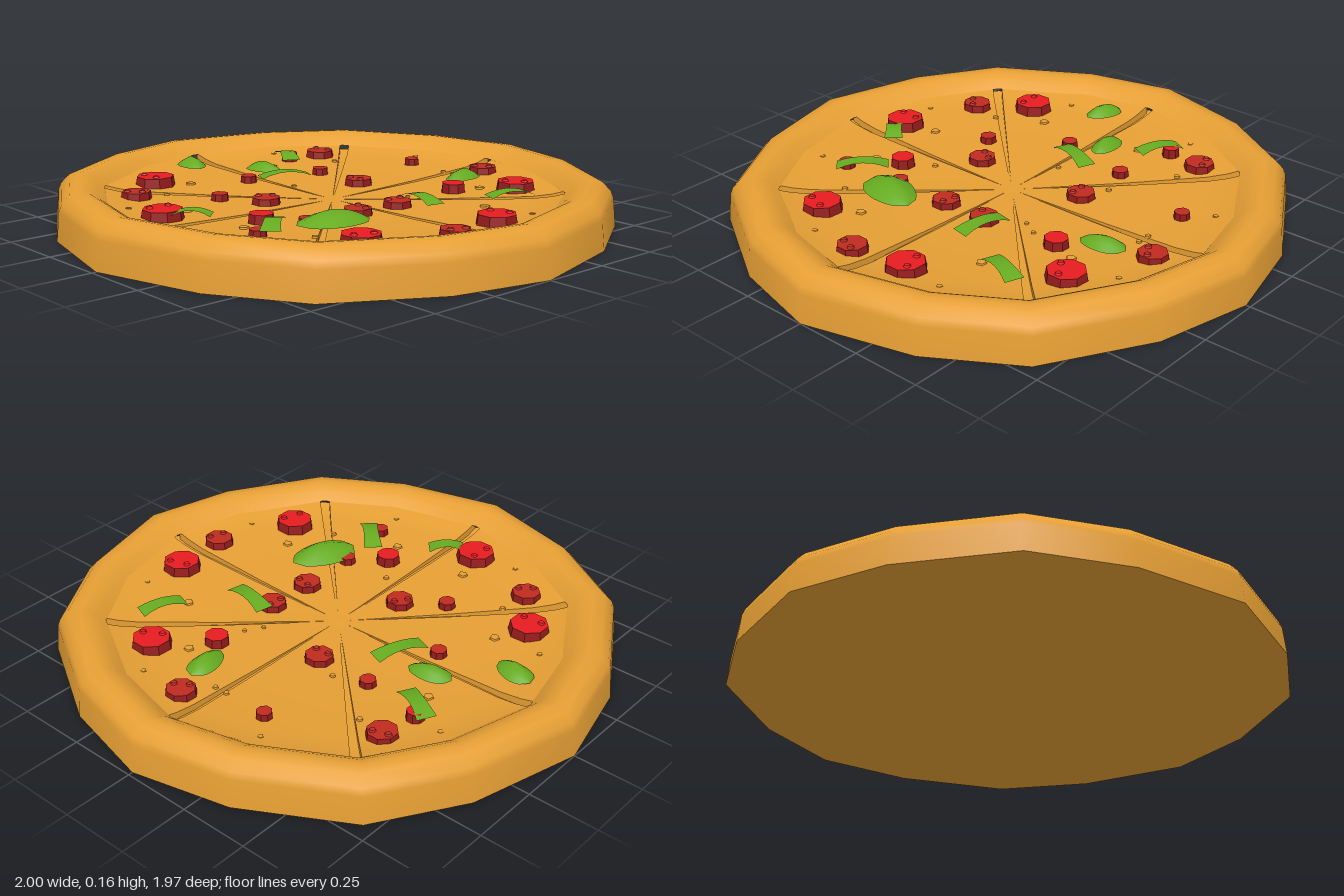
import * as THREE from 'three';
import { toCreasedNormals } from 'three/addons/utils/BufferGeometryUtils.js';

const paint = (name, color, side = THREE.FrontSide) => {
  const m = new THREE.MeshStandardMaterial({ color, side });
  m.name = name;
  return m;
};

// Height of the gently dished filling at a point
const surfaceY = (x, z) => 0.08 + 0.033 * (x * x + z * z);

export function createModel() {
  const dough = paint('bakedDough', 0xe69f34);
  const darkRed = paint('sausageEdge', 0x951b1b);
  const sausageRed = paint('sausageRed', 0xbf2a20);
  const tomatoRed = paint('tomatoRed', 0xe81c20);
  const green = paint('herbGreen', 0x66ab20, THREE.DoubleSide);

  const model = new THREE.Group();
  model.name = 'pizza';
  const add = (name, geometry, material, x = 0, y = 0, z = 0, turn = 0) => {
    const mesh = new THREE.Mesh(geometry, material);
    mesh.name = name;
    mesh.position.set(x, y, z);
    mesh.rotation.y = turn;
    model.add(mesh);
  };

  // Sixteen-sided revolved body, slightly uneven between the slice lines
  const ring = (profile) => {
    const g = new THREE.LatheGeometry(profile.map(([r, y]) => new THREE.Vector2(r, y)), 16);
    const p = g.attributes.position;
    for (let i = 0; i < p.count; i++) {
      const odd = Math.floor(i / profile.length) % 2;
      const k = odd ? 0.98 : 1;
      const x = p.getX(i) * k, z = p.getZ(i) * k * 0.985;
      const shift = odd ? 0.03 * Math.sign(x) : 0;
      p.setXYZ(i, x + shift * z, p.getY(i), z - shift * x);
    }
    return g;
  };
  add('crust', ring([[1, 0], [0.99, 0.1], [0.98, 0.125], [0.95, 0.157], [0.91, 0.162],
    [0.88, 0.157], [0.85, 0.14], [0.82, 0.116]]), dough);
  add('underside', ring([[0, 0], [1, 0]]), dough);
  add('grooveFloor', ring([[0.85, 0.095], [0.8, 0.08], [0.7, 0.072], [0, 0.081]]), dough);

  // One slice: five stations outward; columns are skirt, edge, middle, edge, skirt
  const half = Math.PI / 8 - 0.022;
  const stations = [[0.005, 0.08], [0.4, 0.086], [0.7, 0.096], [0.77, 0.105], [0.828, 0.119]];
  const grid = new THREE.PlaneGeometry(1, 1, 4, 4).rotateX(-Math.PI / 2);
  const gp = grid.attributes.position;
  for (let i = 0; i < gp.count; i++) {
    const [radius, top] = stations[i % 5];
    const column = Math.floor(i / 5);
    const a = half * [-1, -1, 0, 1, 1][column];
    const r = column === 2 ? radius * 0.975 : radius;
    const y = column % 4 === 0 ? top - 0.04 : top;
    gp.setXYZ(i, r * Math.cos(a), y, r * Math.sin(a));
  }
  const sliceGeo = toCreasedNormals(grid, 0.7);
  for (let i = 0; i < 8; i++) add('slice', sliceGeo, dough, 0, 0, 0, (i + 0.5) * Math.PI / 4);

  // Round toppings with small bumps: x, z, radius
  const bumpGeo = new THREE.CylinderGeometry(0.01, 0.014, 0.01, 6);
  const disc = (name, top, rise, [x, z, r], index) => {
    const g = toCreasedNormals(new THREE.CylinderGeometry(r * 0.9, r, rise + 0.01, 8), 0.3);
    g.clearGroups();
    const y = surfaceY(x, z) + rise;
    const cap = new THREE.CircleGeometry(r * 0.9, 8).rotateX(-Math.PI / 2);
    add(name + 'Side', g, darkRed, x, y - (rise + 0.01) / 2, z, Math.PI / 8);
    add(name + 'Top', cap, top, x, y + 0.001, z, Math.PI / 8);
    if (r < 0.05) return;
    for (let k = 0; k < 2; k++) {
      const a = index * 1.7 + k * 2;
      add(name + 'Bump', bumpGeo, top, x + Math.cos(a) * r * 0.55, y + 0.003, z + Math.sin(a) * r * 0.55);
    }
  };
  [[0.09, -0.68, 0.057], [-0.2, -0.59, 0.03], [-0.55, -0.42, 0.058], [-0.33, -0.23, 0.032],
    [-0.11, -0.225, 0.055], [0.24, -0.085, 0.055], [0.235, 0.095, 0.055], [0.685, 0.09, 0.058],
    [-0.4, 0.06, 0.032], [-0.095, 0.225, 0.054], [-0.235, 0.32, 0.033], [-0.42, 0.545, 0.057],
    [0.235, 0.32, 0.033], [0.27, 0.555, 0.032]]
    .forEach((d, i) => disc('sausage', sausageRed, 0.025, d, i));
  [[0.37, -0.55, 0.074], [0.22, -0.385, 0.046], [0.66, -0.13, 0.074], [-0.57, -0.28, 0.033],
    [-0.555, 0.37, 0.075], [-0.12, 0.645, 0.076], [0.12, 0.42, 0.047], [0.555, 0.375, 0.074]]
    .forEach((d, i) => disc('tomato', tomatoRed, 0.034, d, i));

  // Domed leaves with a raised midrib: x, z, length, width, turn
  const leaf = ([x, z, length, width, turn]) => {
    const g = new THREE.PlaneGeometry(2, 2, 10, 4).rotateX(-Math.PI / 2);
    const p = g.attributes.position;
    for (let i = 0; i < p.count; i++) {
      const u = p.getX(i), v = p.getZ(i);
      const w = Math.sqrt(Math.max(0, 1 - u * u)) * (1 - 0.15 * u);
      const rise = 0.02 + 0.14 * width;
      p.setXYZ(i, u * length / 2, rise * (1 - Math.pow(Math.abs(v), 1.5)) * (1 - u * u),
        v * w * width / 2);
    }
    g.computeVertexNormals();
    add('leaf', g, green, x, surfaceY(x, z) + 0.018, z, turn);
  };
  [[0.14, -0.515, 0.17, 0.098, -1.4], [-0.46, -0.065, 0.165, 0.093, 0.15],
    [-0.675, 0.115, 0.155, 0.098, -0.25], [0.32, 0.28, 0.26, 0.165, 1.25]].forEach(leaf);

  // Gently arched ribbons, a little wider at their ends: x, z, length, turn
  const ribbon = ([x, z, length, turn]) => {
    const g = new THREE.PlaneGeometry(2, 2, 6, 1).rotateX(-Math.PI / 2);
    const p = g.attributes.position;
    for (let i = 0; i < p.count; i++) {
      const u = p.getX(i), v = p.getZ(i);
      p.setXYZ(i, u * length / 2, 0.018 * (1 - u * u), v * (0.028 + 0.007 * u * u));
    }
    g.computeVertexNormals();
    add('herbRibbon', g, green, x, surfaceY(x, z) + 0.029, z, turn);
  };
  [[0.49, -0.385, 0.165, 1.22], [-0.545, -0.245, 0.165, -0.48], [0.305, -0.135, 0.185, -0.2],
    [-0.305, -0.035, 0.19, 1.2], [0.26, 0.485, 0.185, -0.78], [-0.015, 0.6, 0.13, 0.75]].forEach(ribbon);

  // Small cheese bubbles: x, z, radius
  [[-0.27, -0.68, 0.012], [0.27, -0.68, 0.012], [0.26, -0.48, 0.02], [-0.02, -0.58, 0.011],
    [0.03, -0.58, 0.011], [-0.44, -0.4, 0.012], [-0.68, -0.29, 0.012], [-0.21, -0.27, 0.012],
    [0.675, -0.29, 0.012], [0.47, -0.28, 0.02], [-0.53, -0.16, 0.02], [-0.235, -0.02, 0.011],
    [-0.67, 0.27, 0.012], [-0.49, 0.26, 0.02], [-0.4, 0.43, 0.012], [-0.155, 0.52, 0.02],
    [0.155, 0.52, 0.02], [-0.285, 0.67, 0.012], [0.285, 0.67, 0.012], [0.4, 0.43, 0.012],
    [0.485, 0.26, 0.02], [0.685, 0.27, 0.012], [0.05, 0.325, 0.012], [0.165, -0.21, 0.009],
    [0.2, -0.27, 0.009]].forEach(([x, z, r]) =>
    add('cheeseBubble', new THREE.CylinderGeometry(r * 0.85, r, 0.012, 5), dough, x, surfaceY(x, z) + 0.002, z));

  return model;
}
